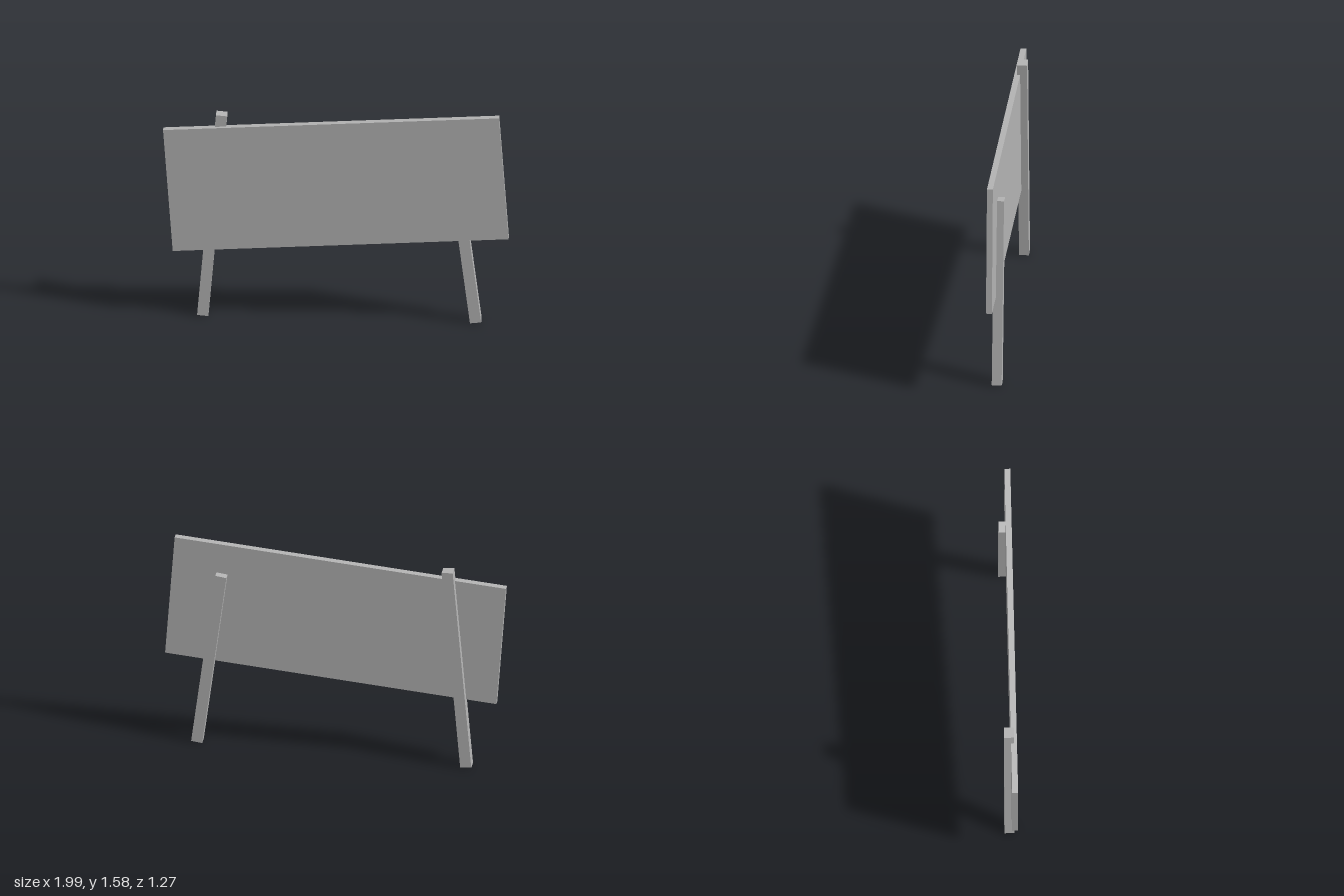
import * as THREE from 'three';

export function createModel() {
  const model = new THREE.Group();
  model.name = 'signboard';
  const grey = new THREE.MeshStandardMaterial({ color: 0xb2b2b2 });
  grey.name = 'plain grey';

  // The whole sign is turned about the vertical axis
  const sign = new THREE.Group();
  sign.name = 'sign';
  sign.rotation.y = THREE.MathUtils.degToRad(32);
  model.add(sign);

  function addBox(name, size, position, tilt) {
    const mesh = new THREE.Mesh(new THREE.BoxGeometry(...size), grey);
    mesh.name = name;
    mesh.position.set(...position);
    mesh.rotation.z = tilt;
    sign.add(mesh);
  }

  // Leaning post, given its foot and head in the plane of the board
  function addPost(name, foot, head) {
    const dx = head[0] - foot[0], dy = head[1] - foot[1];
    addBox(name, [0.076, Math.hypot(dx, dy), 0.067],
      [(foot[0] + head[0]) / 2, (foot[1] + head[1]) / 2, -0.0335], Math.atan2(-dx, dy));
  }

  // Slightly crooked panel
  addBox('panel', [2.268, 0.922, 0.04], [0, 1.04, 0], THREE.MathUtils.degToRad(4.05));

  // Posts set into the back of the panel
  addPost('rightPost', [-0.898, 0.004], [-0.771, 1.53]);
  addPost('leftPost', [0.94, 0.005], [0.775, 1.33]);

  return model;
}
